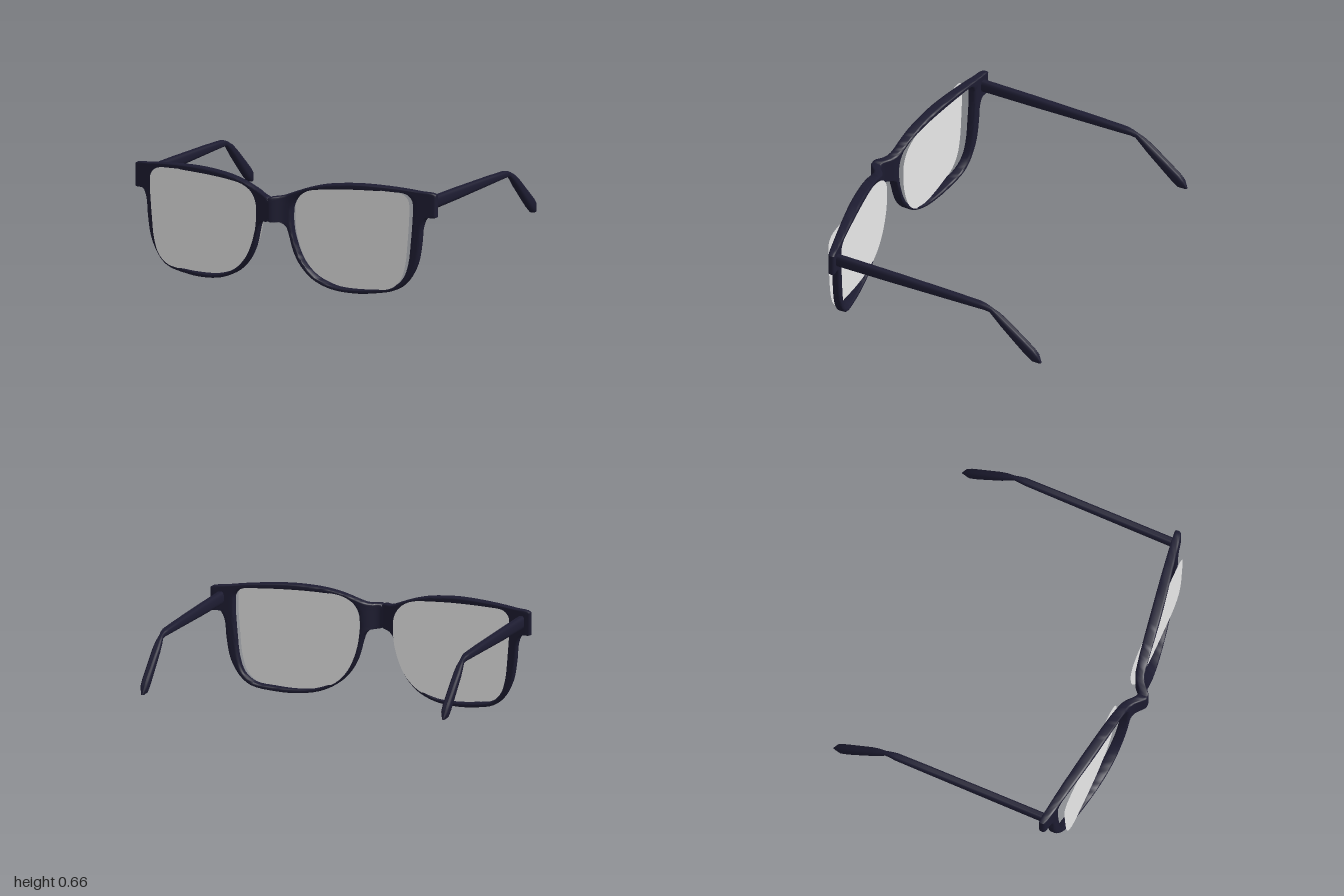
import * as THREE from 'three';
import { toCreasedNormals } from 'three/addons/utils/BufferGeometryUtils.js';

const frameMat = new THREE.MeshStandardMaterial({ color: 0x1d1c31 });
frameMat.name = 'dark navy plastic';
const lensMat = new THREE.MeshStandardMaterial({ color: 0xe8e8e8, side: THREE.DoubleSide });
lensMat.name = 'pale grey lens';

// Points of a smooth curve, a fixed number of steps between each pair of stations
const smooth = (pts, steps, closed) => {
  const curve = new THREE.CatmullRomCurve3(pts.map(([x, y]) => new THREE.Vector3(x, y, 0)), closed, 'centripetal');
  const out = curve.getPoints(steps * (closed ? pts.length : pts.length - 1));
  if (closed) out.pop();
  return out;
};

// Stations round the +x half of the front: a lens opening point and its outer edge point
const inner = [[0.12, 0.49], [0.117, 0.45], [0.117, 0.41], [0.119, 0.385], [0.122, 0.355], [0.128, 0.32],
  [0.152, 0.24], [0.192, 0.16], [0.265, 0.085], [0.38, 0.037], [0.5, 0.028], [0.63, 0.036],
  [0.74, 0.057], [0.8, 0.11], [0.832, 0.2], [0.848, 0.34], [0.856, 0.44], [0.858, 0.47],
  [0.859, 0.5], [0.859, 0.54], [0.855, 0.58], [0.82, 0.617], [0.7, 0.626], [0.5, 0.625],
  [0.4, 0.62], [0.32, 0.614], [0.22, 0.598], [0.165, 0.568], [0.135, 0.53]];
const outer = [[0, 0.548], [0, 0.48], [0, 0.41], [0.05, 0.405], [0.083, 0.383], [0.103, 0.33],
  [0.13, 0.23], [0.175, 0.145], [0.25, 0.07], [0.36, 0.02], [0.5, 0.003], [0.62, 0.01],
  [0.76, 0.04], [0.83, 0.1], [0.882, 0.2], [0.905, 0.32], [0.917, 0.43], [0.945, 0.483],
  [1, 0.487], [1, 0.555], [1, 0.622], [0.9, 0.637], [0.75, 0.652], [0.55, 0.66],
  [0.42, 0.654], [0.32, 0.641], [0.23, 0.619], [0.14, 0.588], [0.065, 0.56]];

// Linear lookup in a list of points sorted by x
const lookup = (pts, x) => {
  let i = 0;
  while (i < pts.length - 2 && x > pts[i + 1].x) i++;
  return THREE.MathUtils.mapLinear(x, pts[i].x, pts[i + 1].x, pts[i].y, pts[i + 1].y);
};
// Depth of the mid-surface (swept wings, raised bridge) and half thickness, by distance from the centre
const sweep = smooth([[0, 0.768], [0.016, 0.765], [0.035, 0.752], [0.065, 0.724], [0.1, 0.704], [0.16, 0.692],
  [0.3, 0.673], [0.5, 0.643], [0.8, 0.59], [1, 0.555]], 6, false);
const thickness = smooth([[0, 0.032], [0.1, 0.029], [0.35, 0.033], [0.6, 0.032], [0.85, 0.026], [1, 0.02]], 4, false);

function buildFront() {
  const ins = smooth(inner, 4, true), outs = smooth(outer, 4, true);
  const pos = [], idx = [];
  for (const side of [1, -1]) {
    const base = pos.length / 3;
    let ring = 0;
    ins.forEach((a, i) => {
      const b = outs[i].clone();
      b.x = THREE.MathUtils.clamp(b.x, 0, 1);
      const len = a.distanceTo(b);
      const round = Math.min(0.014, len * 0.4);
      const joins = b.x < 0.001 && b.y > 0.412 && b.y < 0.546; // where the halves meet
      // front half of the cross-section: [distance from opening, drop from the face]
      const arc = [0, 30, 60, 90].map((d) => d * Math.PI / 180)
        .map((t) => [round * (1 - Math.cos(t)), round * (1 - Math.sin(t))]);
      const far = arc.map(([d, drop]) => [len - d, joins ? 0 : drop]).reverse();
      const flat = [0.2, 0.4, 0.6, 0.8].map((f) => [round + f * (len - 2 * round), 0]);
      const face = [...arc, ...flat, ...far];
      const section = [...face.map((p) => [...p, 1]), ...face.reverse().map((p) => [...p, -1])];
      ring = section.length;
      for (const [d, drop, facing] of section) {
        const p = a.clone().lerp(b, d / len);
        pos.push(side * p.x, p.y, lookup(sweep, p.x) + facing * (lookup(thickness, p.x) - drop));
      }
    });
    for (let i = 0; i < ins.length; i++) {
      for (let s = 0; s < ring; s++) {
        const row = base + i * ring, next = base + ((i + 1) % ins.length) * ring, t = (s + 1) % ring;
        const a = row + s, b = row + t, c = next + s, d = next + t;
        if (side > 0) idx.push(a, b, c, b, d, c);
        else idx.push(a, c, b, b, c, d);
      }
    }
  }
  return finish(pos, idx);
}

function finish(pos, idx) {
  const geo = new THREE.BufferGeometry();
  geo.setAttribute('position', new THREE.Float32BufferAttribute(pos, 3));
  geo.setIndex(idx);
  return toCreasedNormals(geo, 0.8);
}

// Temple stations: top z, top y, bottom z, bottom y, half width
const stations = [
  [0.56, 0.6, 0.56, 0.52, 0.023], [0.2, 0.597, 0.2, 0.525, 0.023], [-0.2, 0.589, -0.2, 0.535, 0.023],
  [-0.4, 0.582, -0.4, 0.54, 0.022], [-0.44, 0.575, -0.435, 0.539, 0.017], [-0.48, 0.56, -0.465, 0.532, 0.013],
  [-0.525, 0.537, -0.495, 0.505, 0.019], [-0.57, 0.504, -0.54, 0.46, 0.023], [-0.68, 0.417, -0.64, 0.362, 0.023],
  [-0.755, 0.356, -0.7, 0.305, 0.023], [-0.785, 0.322, -0.745, 0.269, 0.021], [-0.805, 0.27, -0.785, 0.263, 0.006],
];

function buildTemple() {
  const sides = 12, pos = [], idx = [];
  const square = (v) => Math.sign(v) * Math.abs(v) ** 0.65; // squarish rounded section
  for (const [zt, yt, zb, yb, w] of stations) {
    for (let s = 0; s < sides; s++) {
      const a = ((s + 0.5) / sides) * Math.PI * 2;
      const t = 0.5 + 0.5 * square(Math.sin(a));
      pos.push(square(Math.cos(a)) * w, yb + (yt - yb) * t, zb + (zt - zb) * t);
    }
  }
  const last = (stations.length - 1) * sides;
  for (let r = 0; r < last; r += sides) {
    for (let s = 0; s < sides; s++) {
      const a = r + s, b = r + ((s + 1) % sides);
      idx.push(a, a + sides, b, b, a + sides, b + sides);
    }
  }
  for (let s = 1; s < sides - 1; s++) { // end caps
    idx.push(0, s, s + 1, last, last + s + 1, last + s);
  }
  return finish(pos, idx);
}

export function createModel() {
  const group = new THREE.Group();
  group.name = 'glasses';
  const add = (name, geo, mat, x = 0, z = 0) => {
    const mesh = new THREE.Mesh(geo, mat);
    mesh.name = name;
    mesh.position.set(x, 0, z);
    group.add(mesh);
  };

  add('frontFrame', buildFront(), frameMat);

  // Flat lenses, reaching just inside the rims
  const outline = smooth(inner, 4, true)
    .map((p) => new THREE.Vector2(0.75 + (p.x - 0.75) * 1.02, 0.33 + (p.y - 0.33) * 1.02));
  const temple = buildTemple();
  for (const side of [1, -1]) {
    const label = side > 0 ? 'left' : 'right';
    const shape = new THREE.Shape(outline.map((p) => new THREE.Vector2(side * p.x, p.y)));
    add(label + 'Lens', new THREE.ShapeGeometry(shape), lensMat, 0, 0.643);
    add(label + 'Temple', temple, frameMat, side * 0.94);
  }
  return group;
}
